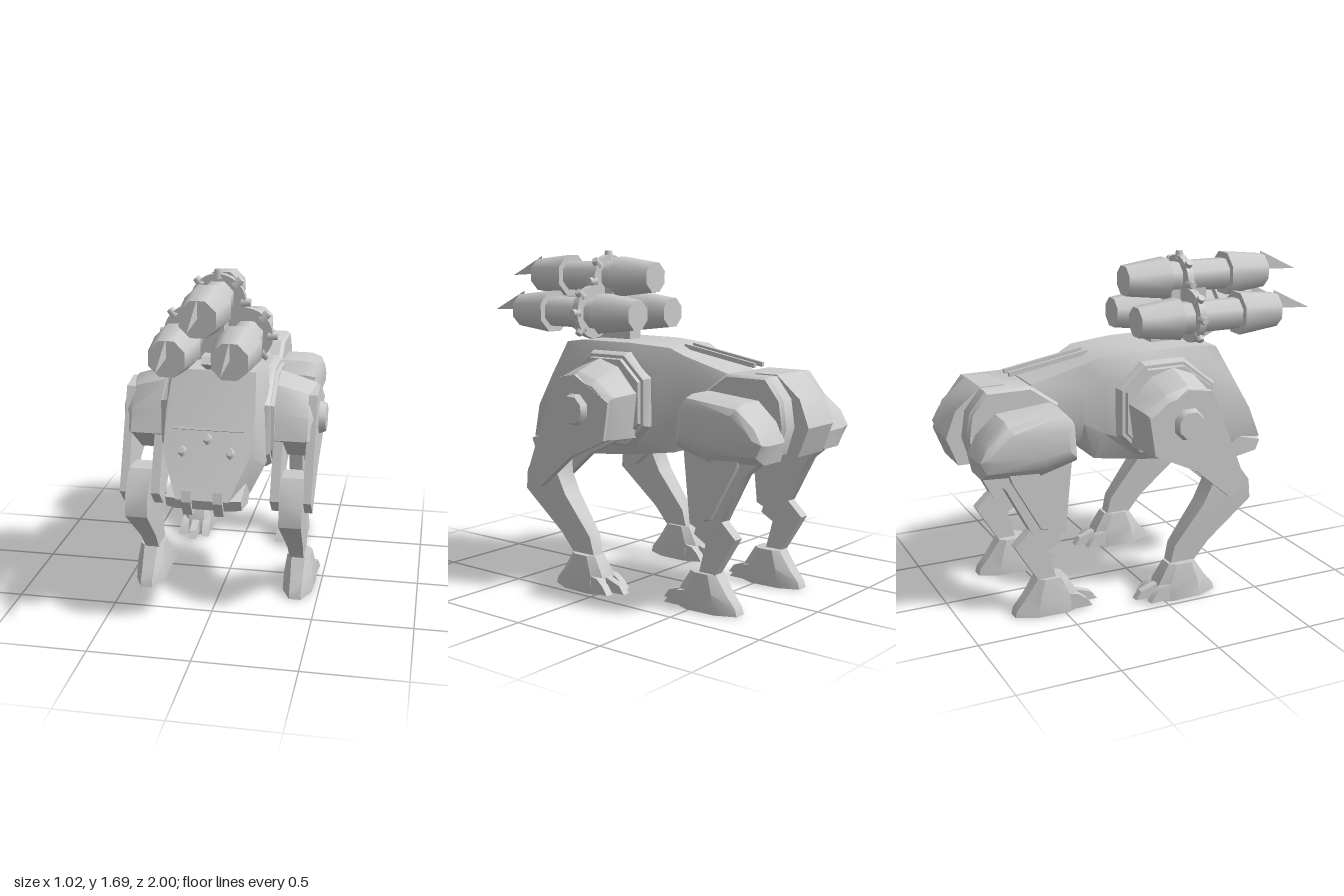
import * as THREE from 'three';
import { toCreasedNormals } from 'three/addons/utils/BufferGeometryUtils.js';

const mat = new THREE.MeshStandardMaterial({ color: 0xcccccc });
const finMat = new THREE.MeshStandardMaterial({ color: 0xcccccc, side: THREE.DoubleSide });

function add(parent, name, geo, x = 0, y = 0, z = 0, m = mat) {
  const mesh = new THREE.Mesh(geo, m);
  mesh.name = name;
  mesh.position.set(x, y, z);
  parent.add(mesh);
  return mesh;
}

// Skin matching rings of [x,y,z] points, cap both ends, face outwards.
// a, b are the two axes used to triangulate the caps.
function loft(rings, a = 0, b = 1) {
  const n = rings[0].length, tris = [];
  for (let r = 0; r + 1 < rings.length; r++) {
    for (let i = 0; i < n; i++) {
      const j = (i + 1) % n, p = rings[r], q = rings[r + 1];
      tris.push([p[i], p[j], q[j]], [p[i], q[j], q[i]]);
    }
  }
  const first = rings[0], last = rings[rings.length - 1];
  const flat = first.map(p => new THREE.Vector2(p[a], p[b]));
  const ccw = THREE.ShapeUtils.area(flat) > 0;
  for (const f of THREE.ShapeUtils.triangulateShape(flat, [])) {
    // make the cap winding follow the ring order
    const t = f.map(i => flat[i]);
    const pos = (t[1].x - t[0].x) * (t[2].y - t[0].y) - (t[1].y - t[0].y) * (t[2].x - t[0].x) > 0;
    const [i, j, k] = pos === ccw ? f : [f[0], f[2], f[1]];
    tris.push([first[i], first[k], first[j]], [last[i], last[j], last[k]]);
  }
  let vol = 0;
  for (const [p, q, r] of tris) {
    vol += p[0] * (q[1] * r[2] - q[2] * r[1]) - p[1] * (q[0] * r[2] - q[2] * r[0]) + p[2] * (q[0] * r[1] - q[1] * r[0]);
  }
  const out = tris.flatMap(t => (vol < 0 ? [t[0], t[2], t[1]] : t)).flat();
  const g = new THREE.BufferGeometry();
  g.setAttribute('position', new THREE.Float32BufferAttribute(out, 3));
  return toCreasedNormals(g, .55);
}

// Loft between side profiles of [z,y] points, each at its own x.
function bridge(steps, s) {
  return loft(steps.map(([x, profile]) => profile.map(([z, y]) => [x * s, y, z])), 2, 1);
}

// One side profile spread over stations [x, scale about the centre].
function slab(profile, stations, s = 1) {
  const c = [0, 1].map(k => profile.reduce((t, p) => t + p[k], 0) / profile.length);
  return bridge(stations.map(([x, k = 1]) =>
    [x, profile.map(p => p.map((v, i) => c[i] + (v - c[i]) * k))]), s);
}

// Octagonal drum along z, flat side up.
function drum(rBack, rFront, len) {
  return new THREE.CylinderGeometry(rFront, rBack, len, 8).rotateY(Math.PI / 8).rotateX(Math.PI / 2);
}

function buildBody(g) {
  // each section: four [halfWidth, y, z] corners, mirrored into a ring
  const sections = [
    [[.2, 1.23, .41], [.215, 1.05, .51], [.207, .88, .615], [.125, .69, .73]],
    [[.21, 1.245, .3], [.245, 1.13, .32], [.245, .76, .39], [.18, .63, .45]],
    [[.2, 1.245, 0], [.25, 1.13, 0], [.25, .78, 0], [.17, .675, 0]],
    [[.168, 1.23, -.235], [.205, 1.12, -.22], [.205, .85, -.22], [.15, .71, -.25]],
    [[.15, 1.195, -.31], [.175, 1.08, -.31], [.175, .9, -.31], [.12, .8, -.31]],
    [[.11, 1.115, -.56], [.135, 1.05, -.56], [.135, .86, -.56], [.1, .78, -.56]],
  ];
  add(g, 'body', loft(sections.map(h => [...h, ...h.slice().reverse().map(([x, y, z]) => [-x, y, z])])));
  add(g, 'jaw', slab([[.715, .69], [.69, .63], [.5, .595], [.44, .64], [.45, .76]], [[-.18, .9], [-.13], [.13], [.18, .9]]));

  // face details lie on the sloping front
  const slope = Math.atan2(.32, .54);
  add(g, 'brow', new THREE.BoxGeometry(.34, .015, .025), 0, .98, .55).rotation.x = -slope;
  for (const [x, y] of [[-.115, .89], [0, .945], [.115, .89]]) {
    const stud = add(g, 'faceStud', new THREE.CylinderGeometry(.014, .026, .05, 6).rotateX(Math.PI / 2), x, y, .615 - (y - .89) * .6);
    stud.rotation.x = -slope;
    stud.scale.y = 1.35;
  }
  for (const s of [-1, 1]) {
    add(g, 'tooth', slab([[.72, .73], [.735, .68], [.69, .6], [.5, .585], [.5, .64], [.66, .7]], [[.052], [.097]], s));
    const rod = add(g, 'backRod', new THREE.BoxGeometry(.018, .022, .42), s * .035, 1.195, -.44);
    rod.rotation.x = -.17;
  }

  // hips and tail block
  add(g, 'hips', slab([[-.45, 1.03], [-.59, 1.13], [-.82, 1.13], [-.9, 1.03], [-.92, .9], [-.88, .77], [-.65, .74], [-.44, .79]],
    [[-.2, .94], [-.18], [.18], [.2, .94]]));
  add(g, 'tailBlock', slab([[-.7, 1.135], [-.82, 1.135], [-.945, 1.03], [-.995, .9], [-.94, .76], [-.7, .76]], [[-.11], [.11]]));
}

// d is the z direction in which the claws point
function buildFoot(g, s, x, z, d) {
  const foot = new THREE.Group();
  foot.name = 'foot';
  foot.position.set(s * x, 0, z);
  const ring = (y, half) => [...half, ...half.slice().reverse().map(([w, q]) => [-w, q])].map(([w, q]) => [w, y, q * d]);
  add(foot, 'footBlock', loft([
    ring(.005, [[.03, -.2], [.075, -.1], [.08, .06], [.05, .13]]),
    ring(.04, [[.03, -.19], [.075, -.09], [.08, .07], [.05, .13]]),
    ring(.1, [[.032, -.14], [.072, -.08], [.075, .07], [.045, .12]]),
    ring(.19, [[.035, -.08], [.06, -.05], [.06, .03], [.035, .065]]),
  ], 0, 2));
  for (const k of [-1, 0, 1]) {
    const reach = k ? 0 : .05;
    const profile = [[.06, .1], [.12, .09], [.16 + reach, .06], [.19 + reach, .02], [.07, .015]].map(([q, y]) => [q * d, y]);
    const claw = add(foot, 'claw', slab(profile, [[-.02], [.02]]), k * .048);
    claw.rotation.y = k * d * .1;
  }
  g.add(foot);
}

function buildFrontLeg(g, s) {
  const leg = new THREE.Group();
  leg.name = s > 0 ? 'leftFrontLeg' : 'rightFrontLeg';
  // stepped mounting plates
  const plate = [[.38, 1.06], [.2, 1.2], [-.03, 1.2], [-.16, 1.08], [-.16, .84], [-.05, .73], [.3, .72], [.38, .8]];
  add(leg, 'shoulderMount', slab(plate, [[.18], [.235], [.262, .94]], s));
  add(leg, 'shoulderPlate', slab(plate, [[.24, .9], [.28, .86]], s));
  // shoulder slopes down towards its outer face
  add(leg, 'shoulder', bridge([
    [.25, [[.3, 1], [.34, .87], [.14, .73], [-.09, .78], [-.12, 1.01], [0, 1.14], [.12, 1.175], [.24, 1.13]]],
    [.44, [[.3, .98], [.34, .87], [.14, .73], [-.08, .79], [-.11, 1], [0, 1.08], [.12, 1.115], [.23, 1.08]]],
    [.475, [[.28, .97], [.3, .87], [.13, .76], [-.06, .8], [-.09, .98], [0, 1.05], [.12, 1.08], [.22, 1.05]]],
  ], s));
  // fork that carries the lower leg
  const fork = [[.244, 1.08], [.437, .59], [.357, .51], [.16, .68], [-.07, .79], [-.1, .98], [.115, 1.1]];
  add(leg, 'outerForkPlate', slab(fork, [[.435], [.477]], s));
  add(leg, 'innerForkPlate', slab(fork, [[.275], [.32]], s));
  add(leg, 'hub', new THREE.CylinderGeometry(.07, .09, .05, 8).rotateY(Math.PI / 8).rotateZ(-s * Math.PI / 2), s * .486, .93, .11);
  // lower leg: [y, front z, back z, half width]
  const bone = [[.7, .39, .27, .057], [.58, .48, .27, .057], [.48, .49, .22, .055], [.28, .26, .07, .04], [.17, .17, .045, .034]];
  add(leg, 'lowerLeg', loft(bone.map(([y, f, b, w]) =>
    [[.382 - w, f], [.382 + w, f], [.382 + w, b], [.382 - w, b]].map(([x, z]) => [s * x, y, z])), 0, 2));
  buildFoot(leg, s, .39, .1, -1);
  g.add(leg);
}

function buildRearLeg(g, s) {
  const leg = new THREE.Group();
  leg.name = s > 0 ? 'leftRearLeg' : 'rightRearLeg';
  // underside of the haunch slopes in to the thigh
  add(leg, 'haunch', bridge([
    [.19, [[-.44, .98], [-.5, 1.045], [-.78, 1.02], [-.88, .93], [-.92, .84], [-.9, .75], [-.6, .73], [-.42, .78]]],
    [.33, [[-.44, .98], [-.5, 1.045], [-.78, 1.02], [-.88, .93], [-.92, .84], [-.9, .75], [-.6, .73], [-.42, .78]]],
    [.385, [[-.45, .97], [-.5, 1.03], [-.78, 1], [-.88, .92], [-.92, .85], [-.89, .79], [-.6, .78], [-.44, .81]]],
    [.405, [[-.49, .95], [-.53, .99], [-.76, .97], [-.85, .91], [-.88, .87], [-.86, .84], [-.6, .84], [-.48, .85]]],
  ], s));
  add(leg, 'thigh', slab([[-.44, .8], [-.48, .42], [-.59, .37], [-.65, .43], [-.78, .68], [-.9, .78]], [[.25], [.325]], s));
  add(leg, 'thighRidge', slab([[-.62, .78], [-.54, .47], [-.57, .44], [-.61, .45], [-.76, .72], [-.78, .78]], [[.32], [.345, .92]], s));
  add(leg, 'lowerLeg', slab([[-.52, .42], [-.5, .37], [-.57, .33], [-.53, .18], [-.62, .18], [-.74, .375], [-.65, .46]], [[.262], [.318]], s));
  buildFoot(leg, s, .278, -.545, 1);
  g.add(leg);
}

function buildCannons(g) {
  const rack = new THREE.Group();
  rack.name = 'cannonRack';
  add(rack, 'rackMount', slab([[.53, 1.29], [.4, 1.23], [.12, 1.22], [.12, 1.32], [.5, 1.32]], [[-.042], [.042]]));
  add(rack, 'rackCore', new THREE.BoxGeometry(.1, .24, .2), 0, 1.42, .33);
  // barrel centre, clamp centre and outward direction in eighth turns
  for (const [x, y, cx, cy, out] of [[0, 1.563, 0, 1.54, 2], [-.142, 1.378, -.13, 1.383, 4], [.142, 1.378, .13, 1.383, 0]]) {
    const gun = new THREE.Group();
    gun.name = 'cannon';
    add(gun, 'rearCone', drum(.08, .11, .23), x, y, .1);
    add(gun, 'barrel', drum(.082, .082, .36), x, y, .38);
    add(gun, 'muzzle', drum(.116, .09, .23), x, y, .67);
    const fin = new THREE.BufferGeometry();
    fin.setAttribute('position', new THREE.Float32BufferAttribute([0, .1, .78, 0, .005, .78, 0, -.008, 1], 3));
    fin.computeVertexNormals();
    add(gun, 'muzzleFin', fin, x, y, 0, finMat);
    // clamp disc with bolts on its outward half
    add(gun, 'clampDisc', new THREE.CylinderGeometry(.135, .135, .035, 24).rotateX(Math.PI / 2), cx, cy, .3);
    const reach = out === 2 ? 2 : 1;
    for (let i = out - reach; i <= out + reach; i++) {
      const t = i * Math.PI / 4;
      const bolt = add(gun, 'clampBolt', new THREE.CylinderGeometry(.018, .026, .045, 8), cx + Math.cos(t) * .133, cy + Math.sin(t) * .133, .3);
      bolt.rotation.z = t - Math.PI / 2;
    }
    rack.add(gun);
  }
  g.add(rack);
}

export function createModel() {
  const g = new THREE.Group();
  g.name = 'walker';
  buildBody(g);
  for (const s of [-1, 1]) {
    buildFrontLeg(g, s);
    buildRearLeg(g, s);
  }
  buildCannons(g);
  return g;
}
